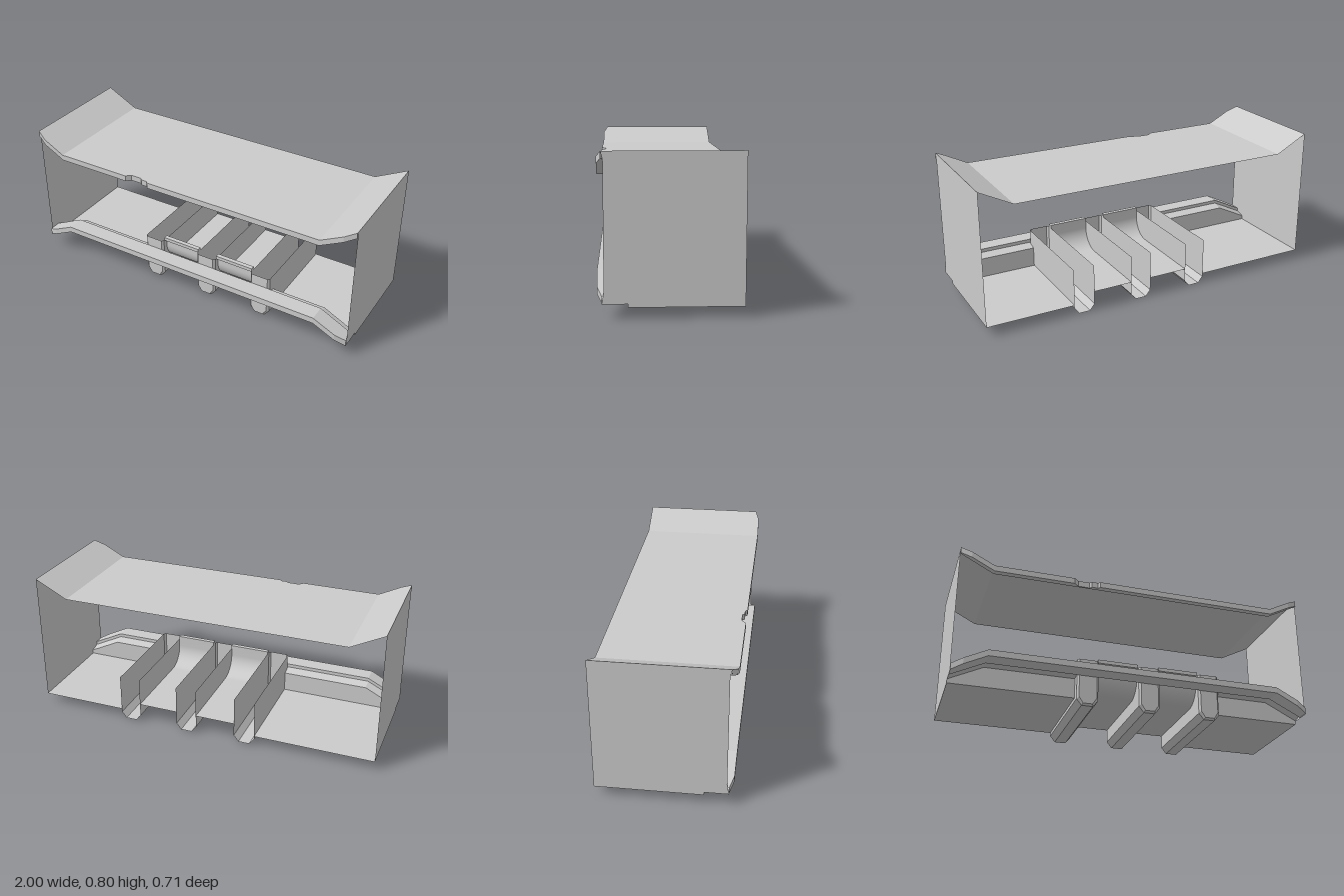
import * as THREE from 'three';

const material = new THREE.MeshStandardMaterial({ color: 0xcccccc, side: THREE.DoubleSide, flatShading: true });
const smooth = new THREE.MeshStandardMaterial({ color: 0xcccccc, side: THREE.DoubleSide });

// Skin a surface through rows of points; all rows have the same length
function sheet(name, rows, mat = material) {
  const n = rows[0].length;
  const index = [];
  for (let r = 0; r < rows.length - 1; r++) {
    for (let i = 0; i < n - 1; i++) {
      const a = r * n + i, b = a + n;
      index.push(a, b, a + 1, a + 1, b, b + 1);
    }
  }
  const g = new THREE.BufferGeometry();
  g.setAttribute('position', new THREE.Float32BufferAttribute(rows.flat(2), 3));
  g.setIndex(index);
  g.computeVertexNormals();
  const mesh = new THREE.Mesh(g, mat);
  mesh.name = name;
  return mesh;
}

// Height rule: flat across the middle, straight slope to the side walls
const ramp = (x, middle, end) => middle + (end - middle) * Math.max(0, (Math.abs(x) - 0.815) / 0.185);
const roofY = x => ramp(x, 0.705, 0.8);
const lipY = x => ramp(x, 0.203, 0.112);

const BACK = -0.357;
const HALF = 0.06;                     // half width of a channel
const CHANNELS = [-0.26, 0.09, 0.44];  // channel centres

function buildRoof() {
  const roof = new THREE.Group();
  roof.name = 'roof';
  // Plan of the front edge, with its small notch
  const edge = [[-1, 0.33], [-0.94, 0.352], [-0.815, 0.354], [-0.37, 0.354], [-0.345, 0.33], [-0.28, 0.33],
    [-0.27, 0.342], [-0.235, 0.342], [-0.225, 0.354], [0.5, 0.354], [0.815, 0.354], [0.94, 0.352], [1, 0.33]];
  roof.add(sheet('roofPanel', [
    edge.map(([x, z]) => [x, roofY(x), z]),
    edge.map(([x]) => [x, roofY(x), BACK]),
  ]));
  roof.add(sheet('roofFrontBand', [
    edge.map(([x, z]) => [x, roofY(x), z]),
    edge.map(([x, z]) => [x, roofY(x) - 0.033, z]),
    edge.map(([x]) => [x, roofY(x) - 0.033, 0.32]),
  ]));
  return roof;
}

function buildLip() {
  const lip = new THREE.Group();
  lip.name = 'frontLip';
  const plan = [[-1, 0.33], [-0.94, 0.352], [-0.815, 0.355], [0.815, 0.355], [0.94, 0.352], [1, 0.33]];
  // Band with a rectangular section following the arch
  lip.add(sheet('lipBand', plan.map(([x, z]) => {
    const top = lipY(x), low = top - 0.035;
    return [[x, low, 0.26], [x, low, z], [x, top, z], [x, top, 0.26], [x, low, 0.26]];
  })));
  // Shelf and step down to the floor, outside the channels
  [[-1, -0.815, -0.32], [0.5, 0.815, 1]].forEach((xs, i) => {
    lip.add(sheet(i ? 'leftShelf' : 'rightShelf', [
      xs.map(x => [x, lipY(x) - 0.02, 0.26]),
      xs.map(x => [x, lipY(x) - 0.035, 0.205]),
      xs.map(x => [x, 0.055, 0.205]),
    ]));
  });
  return lip;
}

function buildWall(side) {
  const x = side;
  const shape = new THREE.Shape([[BACK, 0.055], [0.205, 0.055], [0.205, 0.072], [0.33, 0.072], [0.32, 0.13],
    [0.32, 0.76], [0.33, 0.8], [BACK, 0.8]].map(p => new THREE.Vector2(...p)));
  const wall = new THREE.Mesh(new THREE.ShapeGeometry(shape), material);
  wall.rotation.y = -Math.PI / 2;
  wall.position.x = x;
  wall.name = side > 0 ? 'leftWall' : 'rightWall';
  return wall;
}

function buildChannel(cx) {
  const channel = new THREE.Group();
  channel.name = 'channel';
  channel.position.x = cx;
  // U section with chamfered bottom corners
  const section = (s, lift, z) => [[-HALF, 0.265], [-HALF, 0.035], [-0.032, 0], [0.032, 0], [HALF, 0.035], [HALF, 0.265]]
    .map(([x, y]) => [x * s, y < 0.2 ? y + lift : y, z]);
  const tip = section(0.82, 0.01, 0.26);
  channel.add(sheet('channelSides', [section(1, 0, BACK), section(1, 0, 0.248), tip]));
  const cap = new THREE.Mesh(new THREE.ShapeGeometry(new THREE.Shape(tip.map(([x, y]) => new THREE.Vector2(x, y)))), material);
  cap.position.z = 0.26;
  cap.name = 'channelFront';
  channel.add(cap);
  return channel;
}

// Floor between two channels, curling up into an upright front plate
function buildCurvedFloor(x0, x1) {
  const profile = [[0.11, BACK], [0.11, 0.11]];
  for (let i = 1; i <= 12; i++) {
    const a = (i / 12) * Math.PI / 2;
    profile.push([0.22 - 0.11 * Math.cos(a), 0.11 + 0.11 * Math.sin(a)]);
  }
  profile.push([0.283, 0.22]);
  const group = new THREE.Group();
  group.name = 'curvedFloor';
  group.add(sheet('curvedPanel', profile.map(([y, z]) => [[x0, y, z], [x1, y, z]]), smooth));
  const rail = new THREE.Mesh(new THREE.BoxGeometry(x1 - x0, 0.02, 0.025), material);
  rail.position.set((x0 + x1) / 2, 0.273, 0.23);
  rail.name = 'topRail';
  group.add(rail);
  return group;
}

export function createModel() {
  const model = new THREE.Group();
  model.name = 'model';
  model.add(buildRoof(), buildLip(), buildWall(1), buildWall(-1));
  // Outer floors
  [[-1, CHANNELS[0] - HALF], [CHANNELS[2] + HALF, 1]].forEach(([a, b], i) => {
    model.add(sheet(i ? 'leftFloor' : 'rightFloor', [
      [[a, 0.055, 0.205], [b, 0.055, 0.205]],
      [[a, 0.055, BACK], [b, 0.055, BACK]],
    ]));
  });
  CHANNELS.forEach(cx => model.add(buildChannel(cx)));
  for (let i = 0; i < 2; i++) model.add(buildCurvedFloor(CHANNELS[i] + HALF, CHANNELS[i + 1] - HALF));
  return model;
}
